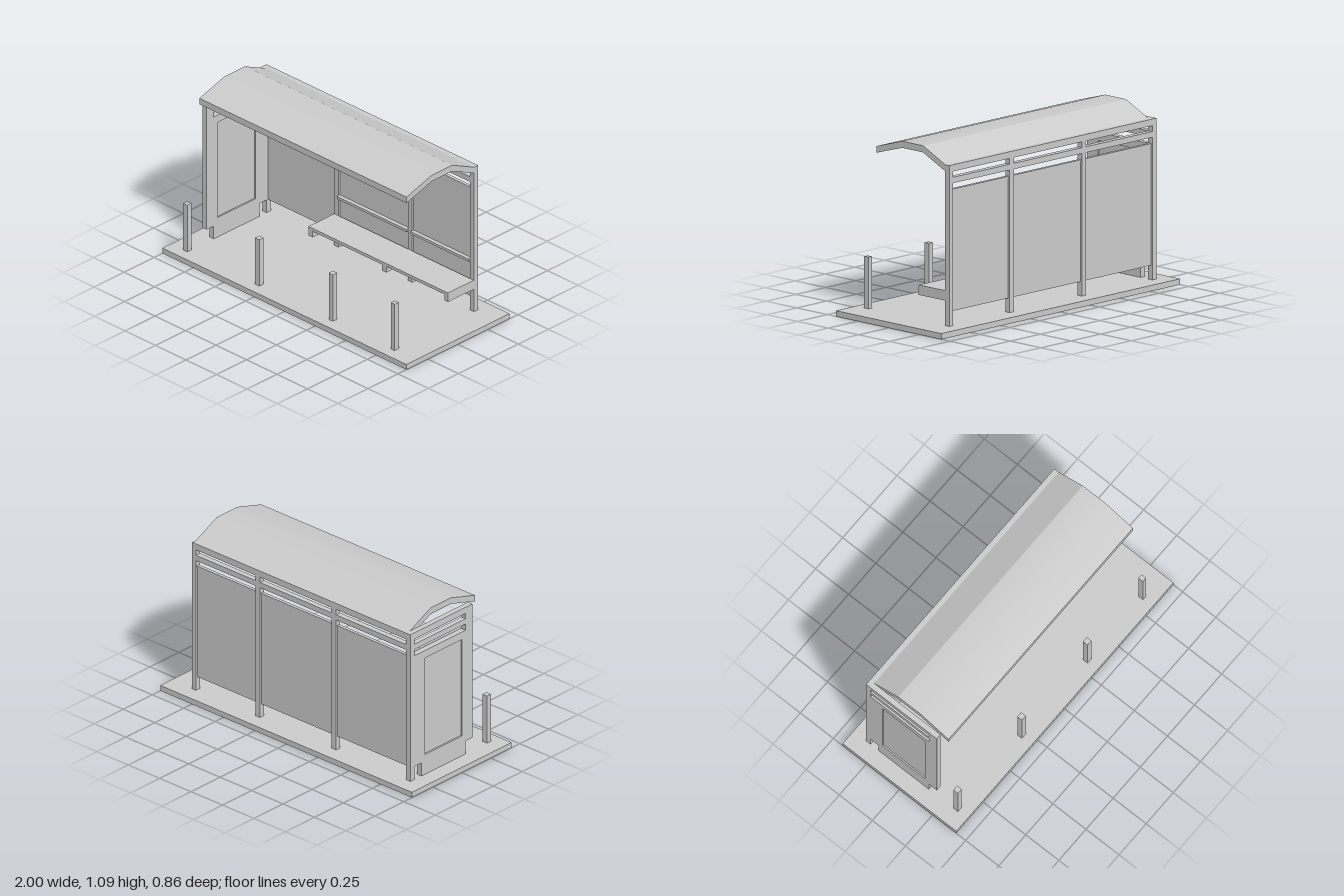
import * as THREE from 'three';
import { toCreasedNormals } from 'three/addons/utils/BufferGeometryUtils.js';

const material = new THREE.MeshStandardMaterial({ color: 0xcccccc });

// x positions [min, max] shared by posts, bollards and bench brackets
const stations = [[-0.9, -0.865], [-0.31, -0.275], [0.295, 0.33], [0.805, 0.835]];
const BACK = -0.335, POST_FRONT = -0.3, FLOOR = 0.035;

// Box given by its extents on each axis
function slab(parent, name, [x0, x1], [y0, y1], [z0, z1]) {
  const mesh = new THREE.Mesh(new THREE.BoxGeometry(x1 - x0, y1 - y0, z1 - z0), material);
  mesh.position.set((x0 + x1) / 2, (y0 + y1) / 2, (z0 + z1) / 2);
  mesh.name = name;
  parent.add(mesh);
}

// Side profile of [z, y] points, extruded along x; hole is optional
function extrudeProfile(points, [x0, x1], hole) {
  const toVectors = (list) => list.map(([z, y]) => new THREE.Vector2(-z, y));
  const shape = new THREE.Shape(toVectors(points));
  if (hole) shape.holes.push(new THREE.Path(toVectors(hole)));
  const geometry = new THREE.ExtrudeGeometry(shape, { depth: x1 - x0, bevelEnabled: false });
  return geometry.rotateY(Math.PI / 2).translate(x0, 0, 0);
}

function addMesh(parent, name, geometry) {
  const mesh = new THREE.Mesh(geometry, material);
  mesh.name = name;
  parent.add(mesh);
}

export function createModel() {
  const model = new THREE.Group();
  model.name = 'busShelter';

  slab(model, 'groundSlab', [-1, 1], [0, FLOOR], [-0.43, 0.43]);

  // Posts along the back, bollards along the kerb
  for (const x of stations) {
    slab(model, 'backPost', x, [FLOOR, 1], [BACK, POST_FRONT]);
    slab(model, 'bollard', x, [FLOOR, 0.345], [0.325, 0.36]);
  }

  // Back wall: panel and rails in each bay
  for (let i = 0; i < 3; i++) {
    const bay = [stations[i][1], stations[i + 1][0]];
    slab(model, 'backPanel', bay, [0.12, 0.84], [-0.323, -0.312]);
    slab(model, 'panelCap', bay, [0.84, 0.852], [-0.328, -0.307]);
    slab(model, 'middleRail', bay, [0.89, 0.925], [BACK, POST_FRONT]);
    slab(model, 'topRail', bay, [0.96, 1], [BACK, POST_FRONT]);
    if (i > 0) slab(model, 'backrestRail', bay, [0.363, 0.38], [-0.312, -0.286]);
  }

  // Bench and its brackets
  const bench = new THREE.Group();
  bench.name = 'bench';
  slab(bench, 'seat', [-0.31, 0.835], [0.225, 0.245], [POST_FRONT, -0.085]);
  for (const x of stations.slice(1)) {
    slab(bench, 'seatBracket', x, [0.185, 0.225], [POST_FRONT, -0.085]);
  }
  model.add(bench);

  // Side wall: comb-shaped top with two open slots, foot notched at both ends
  const wallOutline = [
    [0.2, 0.12], [0.14, 0.12], [0.14, FLOOR], [-0.24, FLOOR], [-0.24, 0.12], [-0.3, 0.12],
    [-0.3, 0.85], [0.14, 0.85], [0.14, 0.89], [-0.3, 0.89],
    [-0.3, 0.925], [0.14, 0.925], [0.14, 0.96], [-0.3, 0.96],
    [-0.3, 1], [0.2, 1],
  ];
  const posterFrame = [[0.11, 0.165], [-0.21, 0.165], [-0.21, 0.8], [0.11, 0.8]];
  addMesh(model, 'sideWall', extrudeProfile(wallOutline, stations[0], posterFrame));
  slab(model, 'posterPane', [-0.891, -0.874], [0.165, 0.8], [-0.21, 0.11]);

  // Folded roof of constant height, soft fold at the front, sharp at the back
  const ridge = [[0.26, 1.022], [0.05, 1.085], [-0.12, 1.085], [-0.302, 1]];
  const underside = ridge.map(([z, y]) => [z, y - 0.04]).reverse();
  const roof = extrudeProfile([...ridge, ...underside], [-0.865, 0.835]);
  addMesh(model, 'roof', toCreasedNormals(roof, 0.37));

  return model;
}
